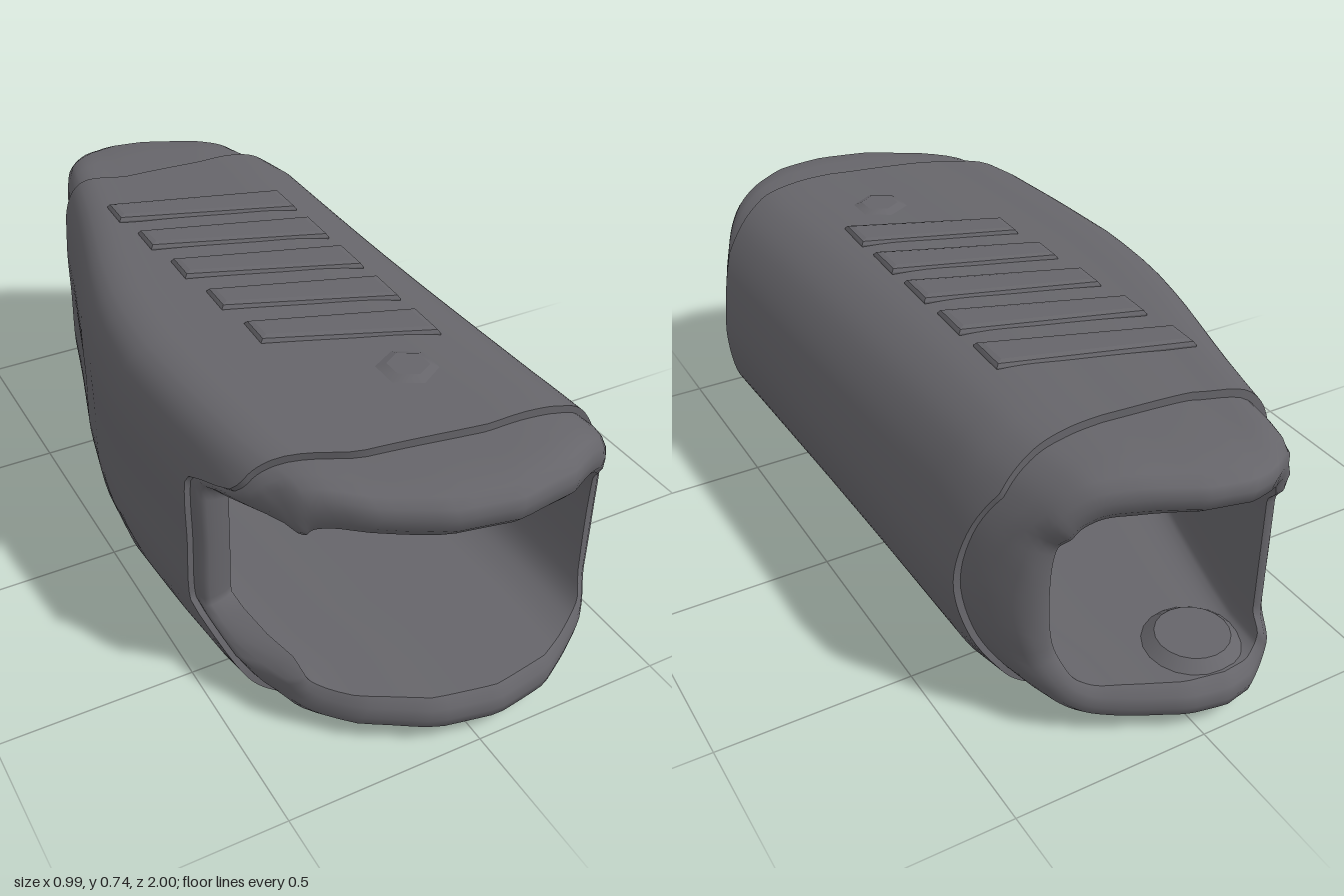
import * as THREE from 'three';

const COLS = 112;
const MID = 0.371; // mid height of the sleeve
const mix = THREE.MathUtils.lerp;

// Piecewise linear lookup in a list of [key, value]
function look(list, k) {
  if (k <= list[0][0]) return list[0][1];
  for (let i = 1; i < list.length; i++) {
    const [a, va] = list[i - 1], [b, vb] = list[i];
    if (k <= b) return mix(va, vb, (k - a) / (b - a));
  }
  return list[list.length - 1][1];
}

// Cross-sections, clockwise from the upper left: [x from -1 to 1, y]
const OUTER = [[-0.84, 0.712], [-0.5, 0.726], [0, 0.73], [0.4, 0.727], [0.62, 0.7], [0.8, 0.635], [0.94, 0.52],
  [1, 0.37], [0.94, 0.22], [0.8, 0.11], [0.62, 0.045], [0.4, 0.016], [0, 0.012], [-0.5, 0.015], [-0.84, 0.03],
  [-0.95, 0.09], [-1, 0.2], [-1, 0.37], [-1, 0.54], [-0.95, 0.655]];
const INNER = [[-0.9, 0.605], [-0.5, 0.61], [0, 0.612], [0.4, 0.61], [0.72, 0.6], [0.9, 0.56], [0.98, 0.49],
  [1, 0.37], [0.98, 0.25], [0.9, 0.18], [0.72, 0.14], [0.4, 0.132], [0, 0.13], [-0.5, 0.132], [-0.9, 0.137],
  [-0.98, 0.16], [-1, 0.22], [-1, 0.37], [-1, 0.52], [-0.98, 0.58]];

// Plan outline: sides by z, ends and seams by x
const LEFT = [[-1, -0.27], [-0.81, -0.29], [-0.55, -0.36], [-0.28, -0.44], [-0.1, -0.48], [0.1, -0.498], [0.35, -0.485], [0.62, -0.46], [0.7, -0.43]];
const RIGHT = [[-0.8, 0.4], [-0.72, 0.425], [-0.63, 0.458], [0, 0.475], [0.7, 0.492]];
const FRONT_END = [[-0.43, 0.65], [-0.36, 0.77], [-0.25, 0.88], [-0.1, 0.97], [0.05, 1], [0.2, 0.975], [0.35, 0.89], [0.43, 0.81], [0.49, 0.74]];
const BACK_END = [[-0.29, -0.8], [-0.23, -0.93], [-0.15, -0.985], [-0.08, -1], [0.02, -0.98], [0.2, -0.89], [0.36, -0.81], [0.4, -0.75]];
const FRONT_SEAM = [[-0.43, 0.63], [-0.2, 0.74], [0.1, 0.79], [0.3, 0.785], [0.49, 0.72]];
const BACK_SEAM = [[-0.29, -0.77], [-0.1, -0.7], [0.1, -0.685], [0.34, -0.695], [0.4, -0.64]];

function sample(list) {
  const curve = new THREE.CatmullRomCurve3(list.map(([x, y]) => new THREE.Vector3(x, y, 0)), true, 'centripetal');
  return Array.from({ length: COLS }, (_, i) => curve.getPoint(i / COLS));
}
const outer = sample(OUTER), inner = sample(INNER);

// Point on column c at depth z; m runs from 0 (outside) to 1 (inside)
function shellPoint(c, z, m) {
  const l = look(LEFT, z), r = look(RIGHT, z);
  const xo = mix(l, r, (outer[c].x + 1) / 2);
  const xi = mix(l + 0.085, r - 0.105, (inner[c].x + 1) / 2);
  return [mix(xo, xi, m), mix(outer[c].y, inner[c].y, m), z];
}

// How much a column belongs to a side wall rather than to a lip
function wallness(c) {
  return 1 - THREE.MathUtils.smoothstep(Math.abs(outer[c].y - MID), 0.18, 0.27);
}
function frontEnd(c, m) {
  const lip = look(FRONT_END, shellPoint(c, 0.75, m)[0]);
  return outer[c].x < -0.8 ? mix(lip, 0.5, wallness(c)) : lip - 0.015 * wallness(c);
}
function backEnd(c, m) {
  return look(BACK_END, shellPoint(c, -0.85, m)[0]) + 0.03 * wallness(c);
}
const frontSeam = c => Math.min(look(FRONT_SEAM, shellPoint(c, 0.75, 0)[0]), frontEnd(c, 0) - 0.05);
const backSeam = c => Math.max(look(BACK_SEAM, shellPoint(c, -0.85, 0)[0]), backEnd(c, 0) + 0.05);

// Rows of a lip from its seam round to the inside
const GROOVE = 0.17;
function lipRows(seam, end) {
  return [
    c => shellPoint(c, seam(c), GROOVE),
    c => shellPoint(c, mix(seam(c), end(c, 0), 0.5), 0.14),
    c => shellPoint(c, mix(seam(c), end(c, 0), 0.85), 0.2),
    c => shellPoint(c, mix(seam(c), end(c, 0.3), 0.97), 0.34),
    c => shellPoint(c, end(c, 0.55), 0.55),
    c => shellPoint(c, mix(seam(c), end(c, 0.8), 0.98), 0.8),
    c => shellPoint(c, mix(seam(c), end(c, 1), 0.88), 1),
  ];
}

// Closed band of faces through a list of rows
function band(name, rows, material) {
  const pos = [], index = [];
  rows.forEach(row => { for (let c = 0; c < COLS; c++) pos.push(...row(c)); });
  for (let r = 0; r < rows.length - 1; r++) {
    for (let c = 0; c < COLS; c++) {
      const a = r * COLS + c, b = r * COLS + (c + 1) % COLS;
      index.push(a, a + COLS, b, b, a + COLS, b + COLS);
    }
  }
  const g = new THREE.BufferGeometry();
  g.setAttribute('position', new THREE.Float32BufferAttribute(pos, 3));
  g.setIndex(index);
  g.computeVertexNormals();
  const mesh = new THREE.Mesh(g, material);
  mesh.name = name;
  return mesh;
}

export function createModel() {
  const model = new THREE.Group();
  model.name = 'hollowSleeve';
  const rubber = new THREE.MeshStandardMaterial({ color: 0x66656a, side: THREE.DoubleSide });
  rubber.name = 'dark grey rubber';

  // Outer sleeve, with small steps down to both lips
  const steps = Array.from({ length: 17 }, (_, i) => i / 16);
  const sleeve = steps.map(t => c => shellPoint(c, mix(backSeam(c), frontSeam(c), t), 0));
  const frontLip = lipRows(frontSeam, frontEnd);
  const backLip = lipRows(backSeam, backEnd).reverse();
  const liner = steps.map(t => c => {
    const a = frontLip[frontLip.length - 1](c)[2], b = backLip[0](c)[2];
    return shellPoint(c, mix(a, b, t), 1);
  });
  model.add(
    band('sleeve', sleeve, rubber),
    band('frontStep', [sleeve[16], frontLip[0]], rubber),
    band('backStep', [backLip[backLip.length - 1], sleeve[0]], rubber),
    band('frontLip', frontLip, rubber),
    band('backLip', backLip, rubber),
    band('liner', liner, rubber));

  // Slanted grip ribs, button and inner pad, repeated on the underside
  const details = new THREE.Group();
  details.name = 'topDetails';
  [-0.52, -0.34, -0.16, 0.02, 0.2].forEach((z, i) => {
    const x0 = -0.23 + i * 0.015, x1 = 0.19;
    const s = new THREE.Shape([[x0, -z], [x0, -z - 0.06], [x1, -z - 0.21], [x1, -z - 0.13]]
      .map(p => new THREE.Vector2(...p)));
    const g = new THREE.ExtrudeGeometry(s, { depth: 0.004, bevelThickness: 0.012, bevelSize: 0.02, bevelSegments: 2 });
    g.rotateX(-Math.PI / 2);
    const rib = new THREE.Mesh(g, rubber);
    rib.name = 'gripRib';
    rib.position.y = 0.726;
    details.add(rib);
  });
  const button = new THREE.Mesh(new THREE.CylinderGeometry(0.05, 0.1, 0.02, 6), rubber);
  button.name = 'button';
  button.position.set(0.06, 0.73, 0.52);
  const pad = new THREE.Mesh(new THREE.CylinderGeometry(0.12, 0.09, 0.025, 20), rubber);
  pad.name = 'innerPad';
  pad.position.set(-0.07, 0.6, -0.84);
  details.add(button, pad);
  const under = details.clone();
  under.name = 'undersideDetails';
  under.scale.y = -1;
  under.position.y = 2 * MID;
  model.add(details, under);
  return model;
}
